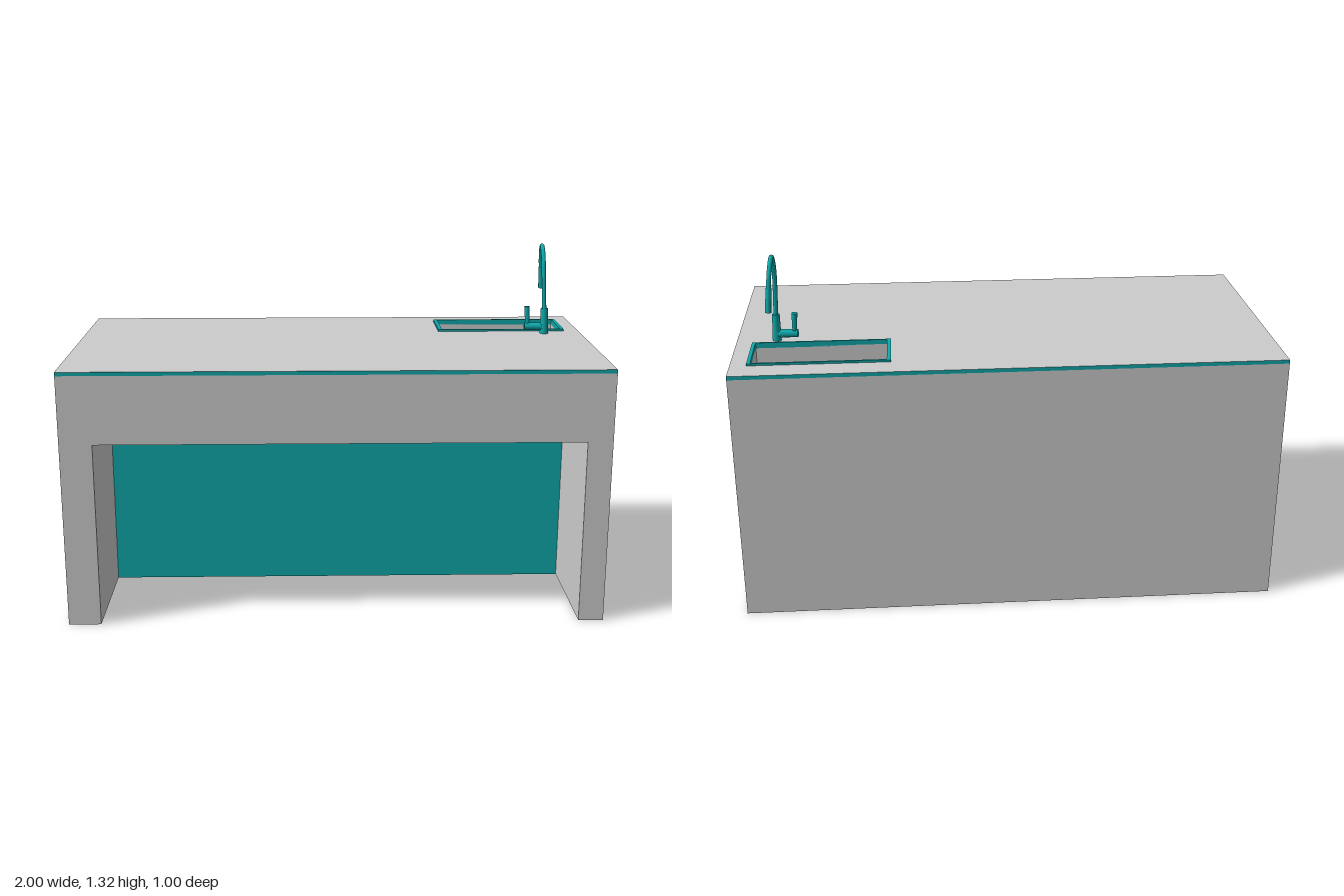
import * as THREE from 'three';

const grey = new THREE.MeshStandardMaterial({ color: 0xcccccc, side: THREE.DoubleSide });
const teal = new THREE.MeshStandardMaterial({ color: 0x0fa8aa });
const V = (x, y, z) => new THREE.Vector3(x, y, z);

function add(parent, name, geometry, material) {
  const mesh = new THREE.Mesh(geometry, material);
  mesh.name = name;
  parent.add(mesh);
  return mesh;
}

// Flat sheet spanned by two edge vectors from a corner
function sheet(o, u, v) {
  const pts = [o, o.clone().add(u), o.clone().add(u).add(v), o.clone().add(v)];
  const g = new THREE.BufferGeometry().setFromPoints(pts);
  g.setIndex([0, 1, 2, 0, 2, 3]);
  g.computeVertexNormals();
  return g;
}

// Rectangle as a point list, with y standing for -z when laid flat
const rect = (x0, x1, y0, y1) =>
  [[x0, y0], [x1, y0], [x1, y1], [x0, y1]].map(p => new THREE.Vector2(...p));

// Horizontal slab with a rectangular hole
function slab(outer, hole, y, height) {
  const shape = new THREE.Shape(rect(...outer));
  shape.holes.push(new THREE.Path(rect(...hole)));
  return new THREE.ExtrudeGeometry(shape, { depth: height, bevelEnabled: false })
    .rotateX(-Math.PI / 2).translate(0, y, 0);
}

// Tapered cylinder between two points
function rod(a, b, r0, r1, sides = 24) {
  const dir = b.clone().sub(a);
  const q = new THREE.Quaternion().setFromUnitVectors(V(0, 1, 0), dir.clone().normalize());
  const mid = a.clone().add(b).multiplyScalar(0.5);
  return new THREE.CylinderGeometry(r1, r0, dir.length(), sides)
    .applyQuaternion(q).translate(mid.x, mid.y, mid.z);
}

function buildCabinet() {
  const cabinet = new THREE.Group();
  cabinet.name = 'cabinet';
  const H = 0.952, L = -0.88, R = 0.907, T = 0.697, back = 0.02;

  // Outer shell, open underneath
  const front = new THREE.Shape([[-1, 0], [L, 0], [L, T], [R, T], [R, 0], [1, 0], [1, H], [-1, H]]
    .map(p => new THREE.Vector2(...p)));
  add(cabinet, 'frontWall', new THREE.ShapeGeometry(front).translate(0, 0, 0.5), grey);
  add(cabinet, 'backWall', sheet(V(1, 0, -0.5), V(-2, 0, 0), V(0, H, 0)), grey);
  add(cabinet, 'leftWall', sheet(V(1, 0, 0.5), V(0, 0, -1), V(0, H, 0)), grey);
  add(cabinet, 'rightWall', sheet(V(-1, 0, -0.5), V(0, 0, 1), V(0, H, 0)), grey);

  // Knee recess
  const depth = 0.5 - back;
  add(cabinet, 'recessRightWall', sheet(V(L, 0, 0.5), V(0, 0, -depth), V(0, T, 0)), grey);
  add(cabinet, 'recessLeftWall', sheet(V(R, 0, back), V(0, 0, depth), V(0, T, 0)), grey);
  add(cabinet, 'recessCeiling', sheet(V(L, T, back), V(R - L, 0, 0), V(0, 0, depth)), grey);
  add(cabinet, 'recessBack', sheet(V(L, 0, back), V(R - L, 0, 0), V(0, T, 0)), grey);

  // Coloured panel that runs on into the hollow legs
  add(cabinet, 'recessPanel',
    new THREE.BoxGeometry(1.92, 0.75, 0.027).translate(0.016, 0.375, 0.0365), teal);
  return cabinet;
}

function buildSink() {
  const sink = new THREE.Group();
  sink.name = 'sink';
  const x0 = 0.443, x1 = 0.927, z0 = -0.397, z1 = -0.198, top = 0.956, d = 0.2;
  add(sink, 'sinkRim', slab([0.428, 0.94, 0.191, 0.405], [x0, x1, -z1, -z0], 0.953, 0.021), teal);

  // Basin
  const w = x1 - x0, l = z1 - z0, y = top - d;
  add(sink, 'basinFloor', sheet(V(x0, y, z1), V(w, 0, 0), V(0, 0, -l)), grey);
  add(sink, 'basinBack', sheet(V(x0, y, z0), V(w, 0, 0), V(0, d, 0)), grey);
  add(sink, 'basinFront', sheet(V(x1, y, z1), V(-w, 0, 0), V(0, d, 0)), grey);
  add(sink, 'basinRight', sheet(V(x0, y, z1), V(0, 0, -l), V(0, d, 0)), grey);
  add(sink, 'basinLeft', sheet(V(x1, y, z0), V(0, 0, l), V(0, d, 0)), grey);
  return sink;
}

function buildFaucet() {
  const faucet = new THREE.Group();
  faucet.name = 'faucet';
  add(faucet, 'faucetBase', rod(V(0.852, 0.953, -0.15), V(0.85, 1.068, -0.152), 0.017, 0.014), teal);

  // Gooseneck
  const neck = new THREE.CatmullRomCurve3([
    V(0.85, 1.06, -0.152), V(0.847, 1.13, -0.156), V(0.844, 1.2, -0.161), V(0.843, 1.25, -0.171),
    V(0.843, 1.29, -0.193), V(0.844, 1.31, -0.225), V(0.847, 1.293, -0.257),
    V(0.851, 1.255, -0.28), V(0.855, 1.205, -0.29),
  ]);
  add(faucet, 'faucetNeck', new THREE.TubeGeometry(neck, 48, 0.0085, 16), teal);
  add(faucet, 'sprayHead', rod(V(0.854, 1.215, -0.288), V(0.861, 1.127, -0.301), 0.010, 0.0115), teal);

  // Side handle
  add(faucet, 'handleStem', rod(V(0.772, 0.993, -0.157), V(0.852, 0.993, -0.152), 0.015, 0.015), teal);
  add(faucet, 'handleLever', rod(V(0.785, 0.993, -0.157), V(0.781, 1.074, -0.16), 0.008, 0.011), teal);
  return faucet;
}

export function createModel() {
  const model = new THREE.Group();
  model.name = 'kitchenIsland';
  model.add(buildCabinet());
  // Worktop with coloured edges
  add(model, 'worktop', slab([-1, 1, -0.5, 0.5], [0.435, 0.934, 0.195, 0.401], 0.952, 0.014), [grey, teal]);
  model.add(buildSink(), buildFaucet());
  return model;
}
